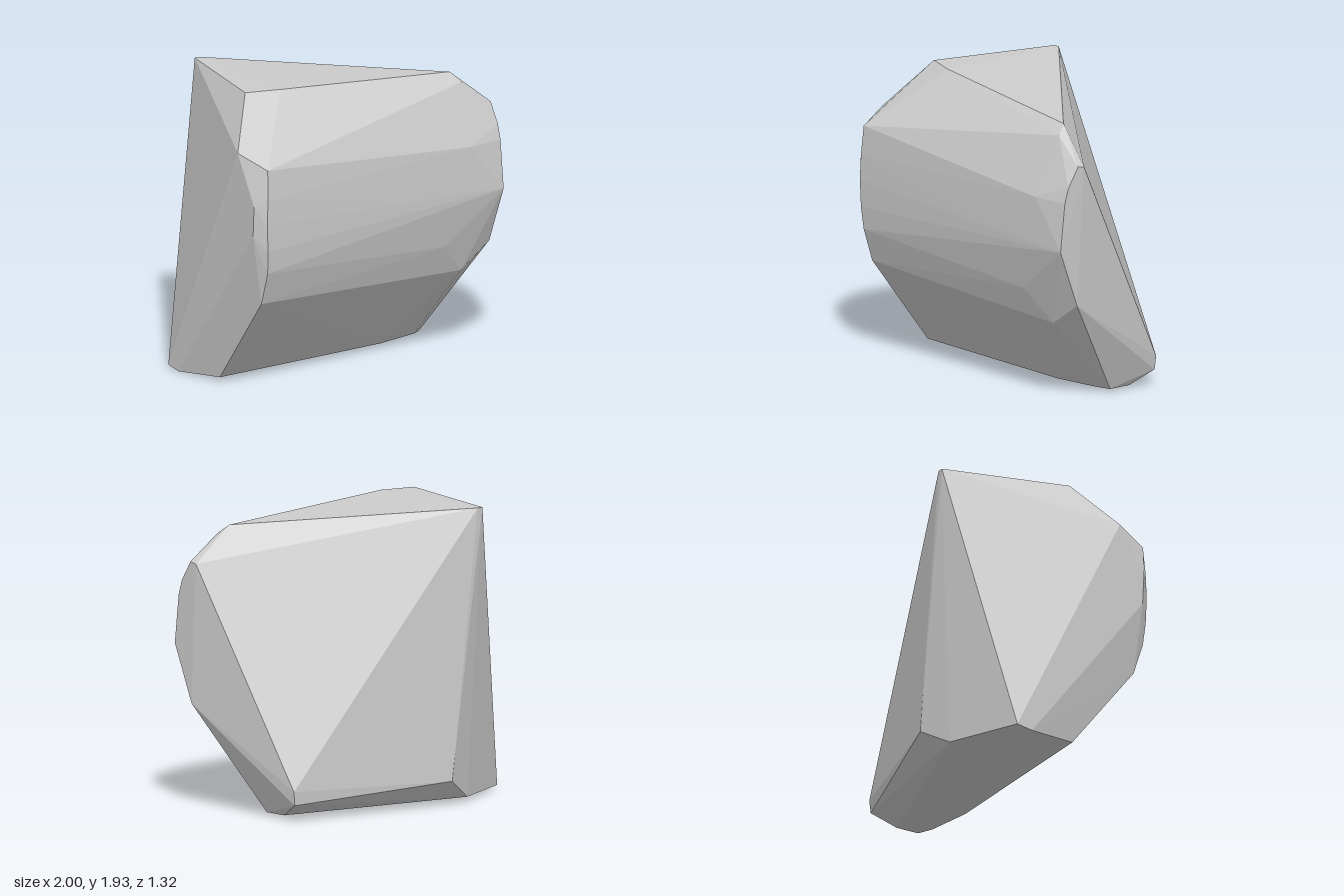
import * as THREE from 'three';
import { ConvexGeometry } from 'three/addons/geometries/ConvexGeometry.js';

export function createModel() {
  const group = new THREE.Group();
  group.name = 'boulder';

  // Corners of the faceted rock, grouped by region
  const corners = [
    // top plateau and back ridge
    [-0.77, 1.93, 0.18], [-0.54, 1.93, 0.25], [-0.57, 1.93, -0.66], [-0.53, 1.93, -0.66],
    [0.74, 1.85, 0.33], [0.78, 1.79, 0.4],
    // bevelled front edge on the -x side
    [-0.92, 1.54, 0.64], [-0.93, 1.35, 0.655], [-0.935, 1.18, 0.66], [-0.93, 1.0, 0.655],
    [-0.92, 0.85, 0.64], [-0.92, 0.63, 0.57], [-0.92, 0.03, 0.11],
    // -x face
    [-1, 1.62, 0.42], [-1, 1.3, 0.6], [-1, 1.1, 0.59], [-1, 0, -0.24], [-1, 0.02, -0.35],
    // +x face
    [1, 1.62, 0.37], [1, 1.63, 0.42], [1, 1.5, 0.5], [1, 1.4, 0.53], [1, 1.08, 0.565],
    [0.99, 0.7, 0.42], [0.83, 0.2, -0.365], [0.82, 0.11, -0.36],
    // front facets near +x
    [0.74, 1.4, 0.565], [0.56, 0.75, 0.52], [0.76, 0.54, 0.43],
    // underside
    [0.37, 0.03, 0.08], [0.68, 0.03, 0.02], [0.76, 0.02, -0.04], [0.76, 0.02, -0.2],
    [-0.52, 0.03, -0.57], [-0.3, 0.17, -0.66],
  ].map(([x, y, z]) => new THREE.Vector3(x, y, z));

  const rock = new THREE.Mesh(
    new ConvexGeometry(corners),
    new THREE.MeshStandardMaterial({ color: 0xcccccc, flatShading: true })
  );
  rock.name = 'rock';
  group.add(rock);
  return group;
}
